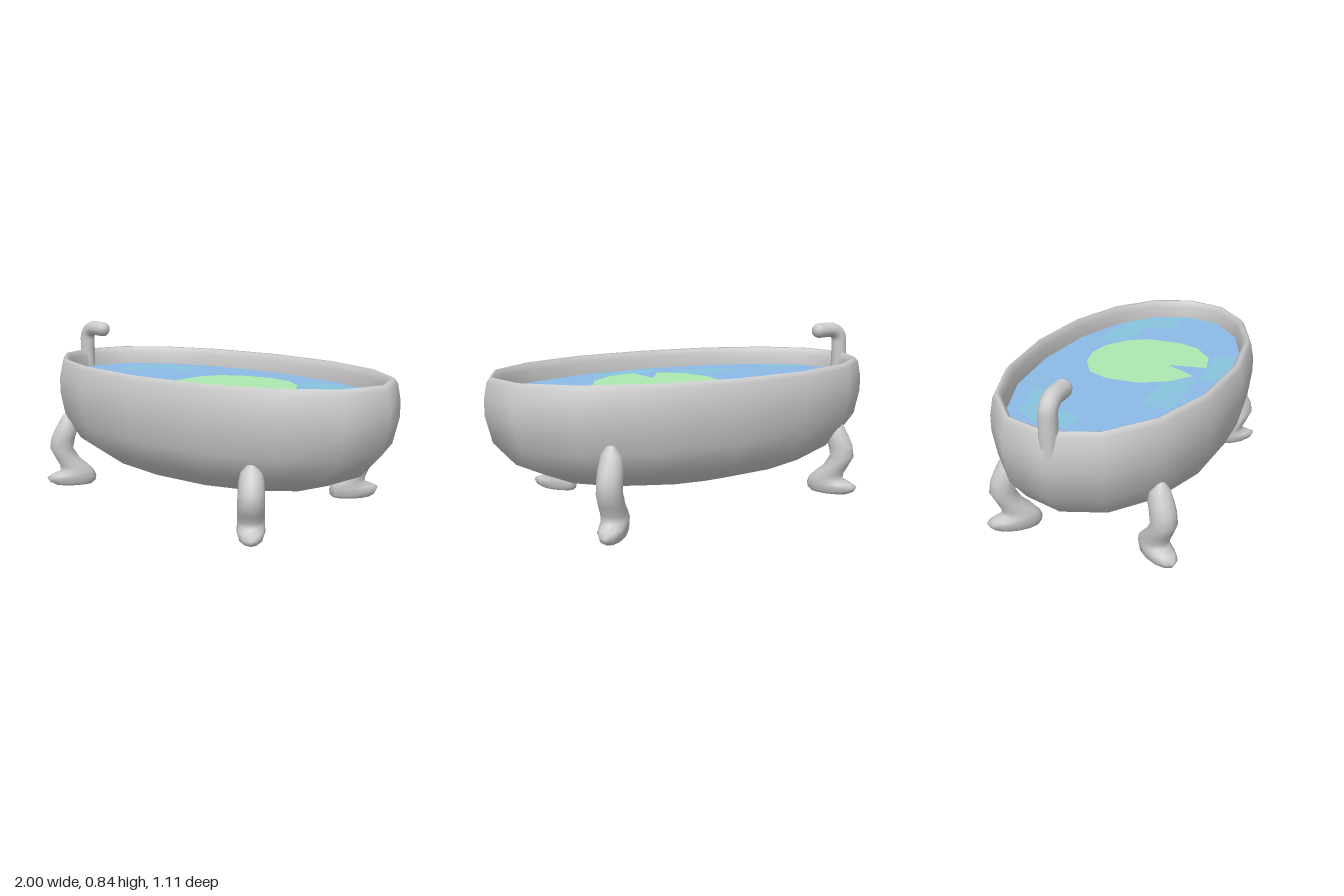
import * as THREE from 'three';

const grey = () => new THREE.MeshStandardMaterial({ color: 0xcccccc });
const RX = 1, RZ = 0.553, SIDES = 16, WATER_Y = 0.58;

// Smooth skin over horizontal rings listed in order; point(ring, angle) gives [x, y, z]
function loft(rings, sides, point) {
  const pos = [], idx = [];
  rings.forEach((r, i) => {
    for (let j = 0; j < sides; j++) {
      pos.push(...point(r, (j / sides) * Math.PI * 2));
      if (i === rings.length - 1) continue;
      const a = i * sides + j, b = i * sides + ((j + 1) % sides);
      const c = a + sides, d = b + sides;
      idx.push(a, c, b, b, c, d);
    }
  });
  const g = new THREE.BufferGeometry();
  g.setAttribute('position', new THREE.Float32BufferAttribute(pos, 3));
  g.setIndex(idx);
  g.computeVertexNormals();
  return g;
}

// Slightly squared oval: scale s, then inset by a constant wall thickness o
const soften = (v) => Math.sign(v) * Math.abs(v) ** 0.96;
const oval = ([s, o, y], a) => [(RX * s - o) * soften(Math.cos(a)), y, (RZ * s - o) * soften(Math.sin(a))];

// Horizontal sheet from [x, z] points
function sheet(name, points, y, color) {
  const shape = new THREE.Shape(points.map(([x, z]) => new THREE.Vector2(x, -z)));
  const g = new THREE.ShapeGeometry(shape);
  g.rotateX(-Math.PI / 2);
  const m = new THREE.Mesh(g, new THREE.MeshStandardMaterial({ color, side: THREE.DoubleSide }));
  m.name = name;
  m.position.y = y;
  return m;
}

function makeTub() {
  // [scale, inset, y]: underside, side wall, rolled rim, inner wall
  const rings = [
    [0, 0, 0.098], [0.37, 0, 0.118], [0.7, 0, 0.183], [0.87, 0, 0.26], [0.97, 0, 0.375],
    [1, 0, 0.5], [1, 0, 0.575], [1, 0.015, 0.653], [1, 0.033, 0.676],
    [1, 0.046, 0.671], [1, 0.06, 0.64], [1, 0.068, 0.58], [1, 0.07, 0.5],
  ];
  const tub = new THREE.Mesh(loft(rings, SIDES, oval), grey());
  tub.material.side = THREE.DoubleSide;
  tub.name = 'tub';
  return tub;
}

function makeWater() {
  const group = new THREE.Group();
  group.name = 'pond';
  const rim = Array.from({ length: SIDES }, (_, i) => {
    const [x, , z] = oval([1, 0.066, 0], (i / SIDES) * Math.PI * 2);
    return [x, z];
  });
  group.add(sheet('water', rim, WATER_Y, 0x8cbae6));

  // Paler ripples on the water
  const ripples = [
    [[0.33, -0.345], [0.64, -0.33], [0.74, -0.3], [0.86, -0.17], [0.91, -0.02], [0.7, -0.02], [0.66, -0.18], [0.38, -0.18]],
    [[-0.64, -0.3], [-0.38, -0.345], [-0.38, -0.18], [-0.57, -0.18], [-0.6, -0.02], [-0.74, -0.02], [-0.72, -0.19]],
    [[-0.86, 0.18], [-0.68, 0.17], [-0.62, 0.26], [-0.69, 0.34], [-0.8, 0.27]],
    [[-0.39, 0.18], [-0.02, 0.19], [-0.02, 0.33], [-0.39, 0.325]],
    [[-0.02, 0.35], [0.33, 0.325], [0.35, 0.43], [-0.02, 0.455]],
    [[0.91, -0.08], [0.92, 0.02], [0.86, 0.18], [0.83, 0.2]],
  ];
  ripples.forEach((p) => group.add(sheet('ripple', p, WATER_Y + 0.002, 0x88c4e0)));

  // Lily pad with a notch cut to its middle
  const pad = [
    [0.147, -0.29], [0.28, -0.265], [0.39, -0.187], [0.45, -0.085], [0.45, 0.1],
    [0.4, 0.21], [0.28, 0.305], [0.137, 0.335], [0.11, 0.145], [0.01, 0.305],
    [-0.1, 0.21], [-0.165, 0.085], [-0.165, -0.08], [-0.11, -0.19], [0.01, -0.26],
  ];
  group.add(sheet('lilyPad', pad, WATER_Y + 0.006, 0xaee8b0));
  return group;
}

function makeFaucet() {
  const group = new THREE.Group();
  group.name = 'faucet';
  const points = [[-0.956, 0.57], [-0.956, 0.7], [-0.95, 0.765], [-0.915, 0.795], [-0.82, 0.797]]
    .map(([x, y]) => new THREE.Vector3(x, y, 0.01));
  const path = new THREE.CatmullRomCurve3(points);
  const pipe = new THREE.Mesh(new THREE.TubeGeometry(path, 16, 0.04, 12), grey());
  pipe.name = 'faucetPipe';
  group.add(pipe);
  [points[0], points[4]].forEach((p) => {
    const cap = new THREE.Mesh(new THREE.SphereGeometry(0.04, 12, 8), grey());
    cap.name = 'faucetEnd';
    cap.position.copy(p);
    group.add(cap);
  });
  return group;
}

// Bent leg with a tapering foot, toe along local +x; [y, centre, half length, half width]
function makeLeg(name, x, z, height) {
  const rings = [
    [0.003, -0.03, 0, 0], [0.003, -0.03, 0.1, 0.045], [0.015, -0.025, 0.12, 0.056],
    [0.038, -0.02, 0.13, 0.062], [0.052, -0.03, 0.115, 0.062], [0.068, -0.05, 0.087, 0.061],
    [0.095, -0.035, 0.074, 0.06], [0.13, -0.003, 0.062, 0.059], [0.18, 0.028, 0.06, 0.059],
    [0.23, 0.018, 0.062, 0.058], [0.27, 0, 0.06, 0.056], [0.31, -0.005, 0.04, 0.046],
    [0.342, 0, 0.014, 0.018], [0.346, 0, 0, 0],
  ];
  const g = loft(rings, 12, ([y, c, a, b], t) => [c + a * Math.cos(t), (y * height) / 0.346, b * Math.sin(t)]);
  const leg = new THREE.Mesh(g, grey());
  leg.name = name;
  leg.position.set(x, 0, z);
  leg.rotation.y = Math.atan2(-0.78 * Math.sign(z), 0.62 * Math.sign(x));
  return leg;
}

export function createModel() {
  const model = new THREE.Group();
  model.name = 'clawfootTub';
  model.add(
    makeTub(), makeWater(), makeFaucet(),
    makeLeg('frontLeftLeg', 0.58, 0.4, 0.345),
    makeLeg('frontRightLeg', -0.695, 0.385, 0.385),
    makeLeg('backLeftLeg', 0.58, -0.46, 0.425),
    makeLeg('backRightLeg', -0.695, -0.345, 0.385),
  );
  return model;
}
